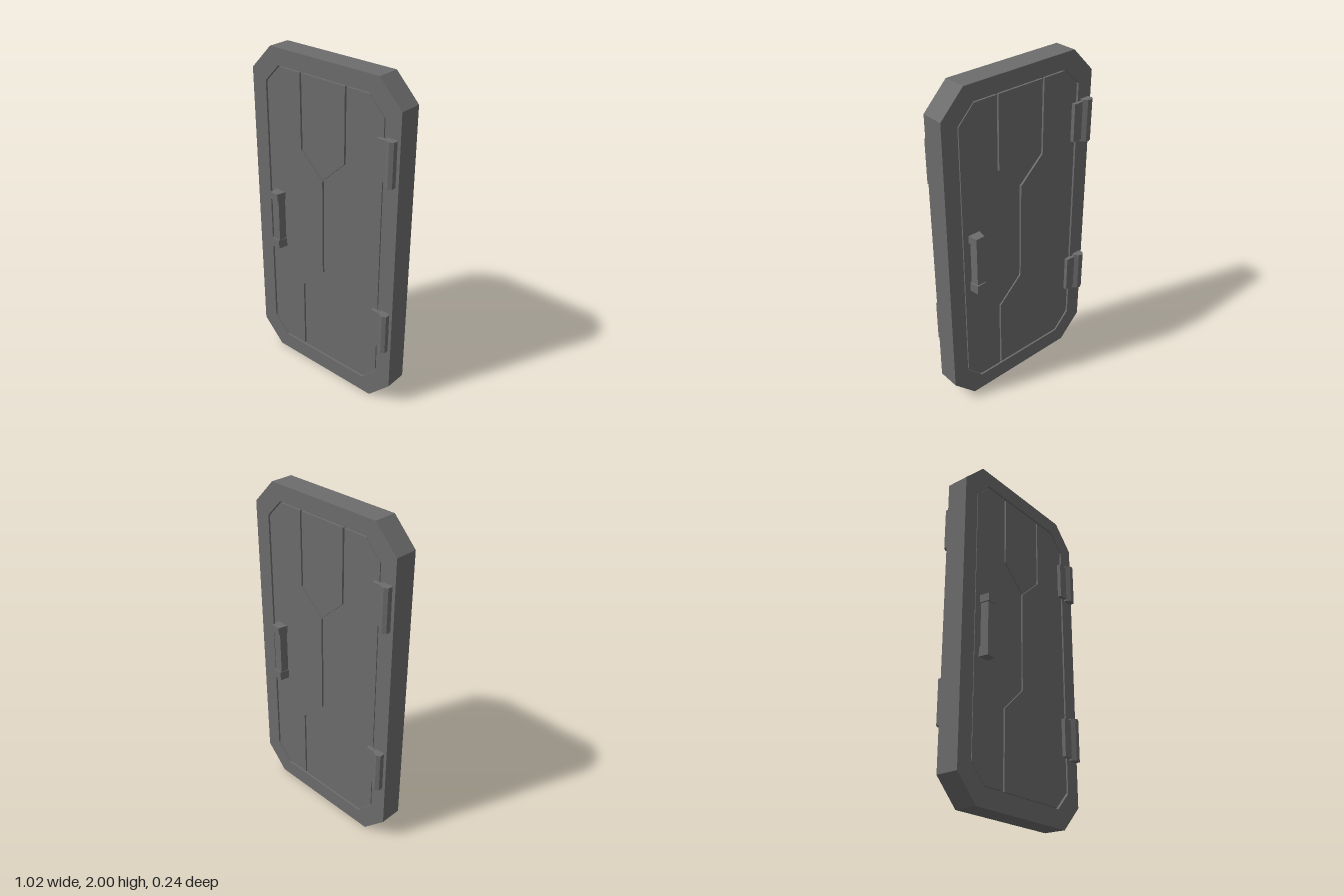
import * as THREE from 'three';

const steel = new THREE.MeshStandardMaterial({ color: 0x6c6c6c });
steel.name = 'dark steel';

const HALF = 0.067; // half the frame thickness

const toPoints = (pts) => pts.map(([x, y]) => new THREE.Vector2(x, y));

// flat plate: outline in x/y, from z0 to z1
function plate(name, outline, z0, z1, hole) {
  const shape = new THREE.Shape(toPoints(outline));
  if (hole) shape.holes.push(new THREE.Path(toPoints(hole)));
  const geo = new THREE.ExtrudeGeometry(shape, { depth: z1 - z0, bevelEnabled: false });
  geo.translate(0, 0, z0);
  const mesh = new THREE.Mesh(geo, steel);
  mesh.name = name;
  return mesh;
}

// upright bar: cross-section in x/z, from y0 to y1
function bar(name, section, y0, y1) {
  const shape = new THREE.Shape(toPoints(section.map(([x, z]) => [x, -z])));
  const geo = new THREE.ExtrudeGeometry(shape, { depth: y1 - y0, bevelEnabled: false });
  geo.rotateX(-Math.PI / 2);
  geo.translate(0, y0, 0);
  const mesh = new THREE.Mesh(geo, steel);
  mesh.name = name;
  return mesh;
}

// rectangle with cut corners
function octagon(w, y0, y1, cx, cy) {
  return [
    [-w + cx, y0], [w - cx, y0], [w, y0 + cy], [w, y1 - cy],
    [w - cx, y1], [-w + cx, y1], [-w, y1 - cy], [-w, y0 + cy],
  ];
}

// everything mounted on one face of the door
function createFace() {
  const face = new THREE.Group();
  const z0 = 0.04, z1 = 0.063;

  // three panels separated by narrow grooves
  face.add(plate('upperPanel', [
    [-0.15, 1.897], [-0.15, 1.465], [0, 1.325], [0.15, 1.465], [0.15, 1.897],
  ], z0, z1));
  face.add(plate('leftPanel', [
    [-0.162, 1.897], [-0.162, 1.458], [-0.006, 1.312], [-0.006, 0.715],
    [-0.162, 0.565], [-0.162, 0.113], [-0.307, 0.113], [-0.405, 0.215],
    [-0.405, 1.795], [-0.307, 1.897],
  ], z0, z1));
  face.add(plate('rightPanel', [
    [0.162, 1.897], [0.162, 1.458], [0.006, 1.312], [0.006, 0.71],
    [-0.15, 0.56], [-0.15, 0.113], [0.307, 0.113], [0.405, 0.215],
    [0.405, 1.795], [0.307, 1.897],
  ], z0, z1));

  // hinges: flat leaf and faceted knuckle
  for (const y of [0.533, 1.577]) {
    const hinge = new THREE.Group();
    hinge.name = 'hinge';
    hinge.add(bar('hingeLeaf', [
      [0.373, 0.055], [0.378, 0.084], [0.45, 0.086], [0.45, 0.055],
    ], y - 0.115, y + 0.115));
    hinge.add(bar('hingeKnuckle', [
      [0.438, 0.055], [0.435, 0.085], [0.455, 0.107], [0.475, 0.112],
      [0.496, 0.1], [0.497, 0.078], [0.488, 0.055],
    ], y - 0.127, y + 0.127));
    face.add(hinge);
  }

  // handle: tapered grip with a wider foot at each end
  const handle = new THREE.Group();
  handle.name = 'handle';
  handle.add(bar('handleGrip', [
    [-0.36, 0.055], [-0.355, 0.112], [-0.305, 0.112], [-0.3, 0.055],
  ], 0.83, 1.12));
  const foot = [[-0.371, 0.055], [-0.362, 0.12], [-0.306, 0.12], [-0.293, 0.055]];
  handle.add(bar('handleLowerFoot', foot, 0.785, 0.84));
  handle.add(bar('handleUpperFoot', foot, 1.105, 1.15));
  face.add(handle);
  return face;
}

export function createModel() {
  const door = new THREE.Group();
  door.name = 'door';

  // frame with cut corners and the core behind the panels
  const opening = octagon(0.414, 0.104, 1.906, 0.103, 0.106);
  door.add(plate('frame', octagon(0.512, 0, 2, 0.142, 0.145), -HALF, HALF, opening));
  door.add(plate('core', octagon(0.42, 0.098, 1.912, 0.103, 0.106), -0.05, 0.05));

  // the same fittings on both sides
  const front = createFace();
  front.name = 'frontFace';
  const back = createFace();
  back.name = 'backFace';
  back.rotation.y = Math.PI;
  door.add(front, back);
  return door;
}
